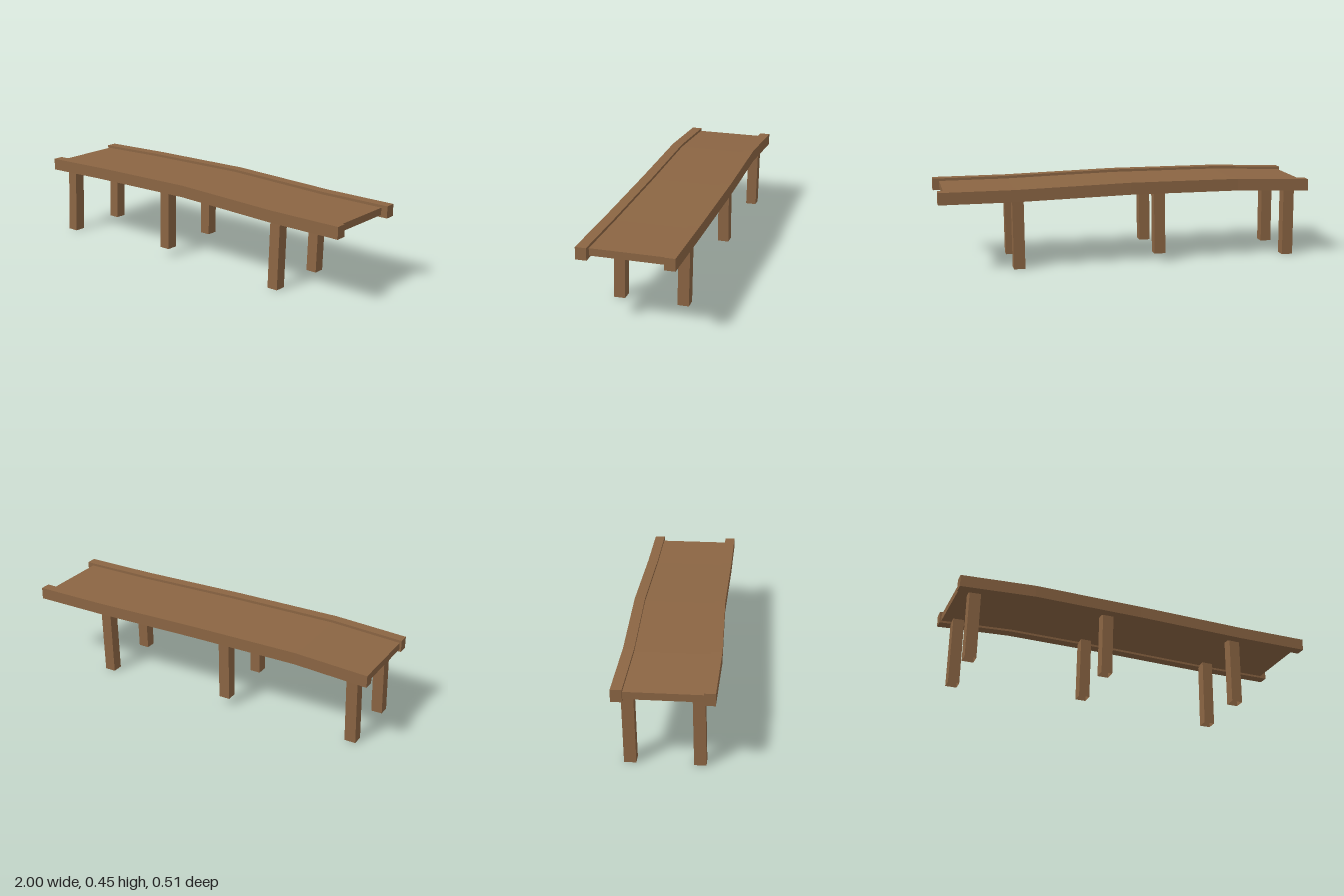
import * as THREE from 'three';

const wood = new THREE.MeshStandardMaterial({ color: 0x8b6543, side: THREE.DoubleSide });
wood.name = 'brown wood';

// Joins four-cornered sections into a flat-faced beam, with optional end caps
function loft(name, sections, capStart, capEnd) {
  const pos = [];
  const quad = (a, b, c, d) => [a, b, c, a, c, d].forEach(p => pos.push(...p));
  for (let i = 0; i < sections.length - 1; i++) {
    const s = sections[i], t = sections[i + 1];
    for (let j = 0; j < 4; j++) {
      const k = (j + 1) % 4;
      quad(s[j], t[j], t[k], s[k]);
    }
  }
  if (capStart) quad(...sections[0]);
  if (capEnd) quad(...[...sections[sections.length - 1]].reverse());
  const geometry = new THREE.BufferGeometry();
  geometry.setAttribute('position', new THREE.Float32BufferAttribute(pos, 3));
  geometry.computeVertexNormals();
  const mesh = new THREE.Mesh(geometry, wood);
  mesh.name = name;
  return mesh;
}

// Upright section across the bridge at x
const across = (x, y0, y1, z0, z1) => [[x, y0, z1], [x, y1, z1], [x, y1, z0], [x, y0, z0]];
// Level section of a leg at height y
const level = (x, y, z, h) => [[x + h, y, z - h], [x + h, y, z + h], [x - h, y, z + h], [x - h, y, z - h]];

// Sagging centre line: x, underside of rail, sideways drift
const line = [
  [-1, 0.363, 0],
  [-0.6, 0.379, 0.009],
  [0, 0.384, -0.007],
  [0.6, 0.369, 0],
  [1, 0.369, 0.001],
];

export function createModel() {
  const bridge = new THREE.Group();
  bridge.name = 'woodenBridge';

  // Deck, ending just short of the rails
  bridge.add(loft('deck', line.map(([x, y]) =>
    across(THREE.MathUtils.clamp(x, -0.99, 0.965), y + 0.012, y + 0.05, -0.205, 0.205)), true, true));

  // Side rails
  for (const [name, z] of [['leftRail', 0.215], ['rightRail', -0.222]]) {
    bridge.add(loft(name, line.map(([x, y, drift]) =>
      across(x, y, y + 0.064, z + drift - 0.028, z + drift + 0.028)), true, true));
  }

  // Three pairs of hollow legs: foot x, foot y, foot z shift, top x, top z shift
  const legs = [
    [-0.911, 0, 0, -0.905, -0.01],
    [-0.177, 0.046, -0.011, -0.171, -0.011],
    [0.583, 0, 0, 0.588, -0.01],
  ];
  legs.forEach(([x, y, dz, topX, topDz], i) => {
    for (const side of [1, -1]) {
      bridge.add(loft(`leg${i + 1}${side > 0 ? 'Front' : 'Back'}`, [
        level(x, y, side * 0.17 + dz, 0.03),
        level(topX, 0.392, side * 0.17 + topDz, 0.03),
      ], false, true));
    }
  });
  return bridge;
}
